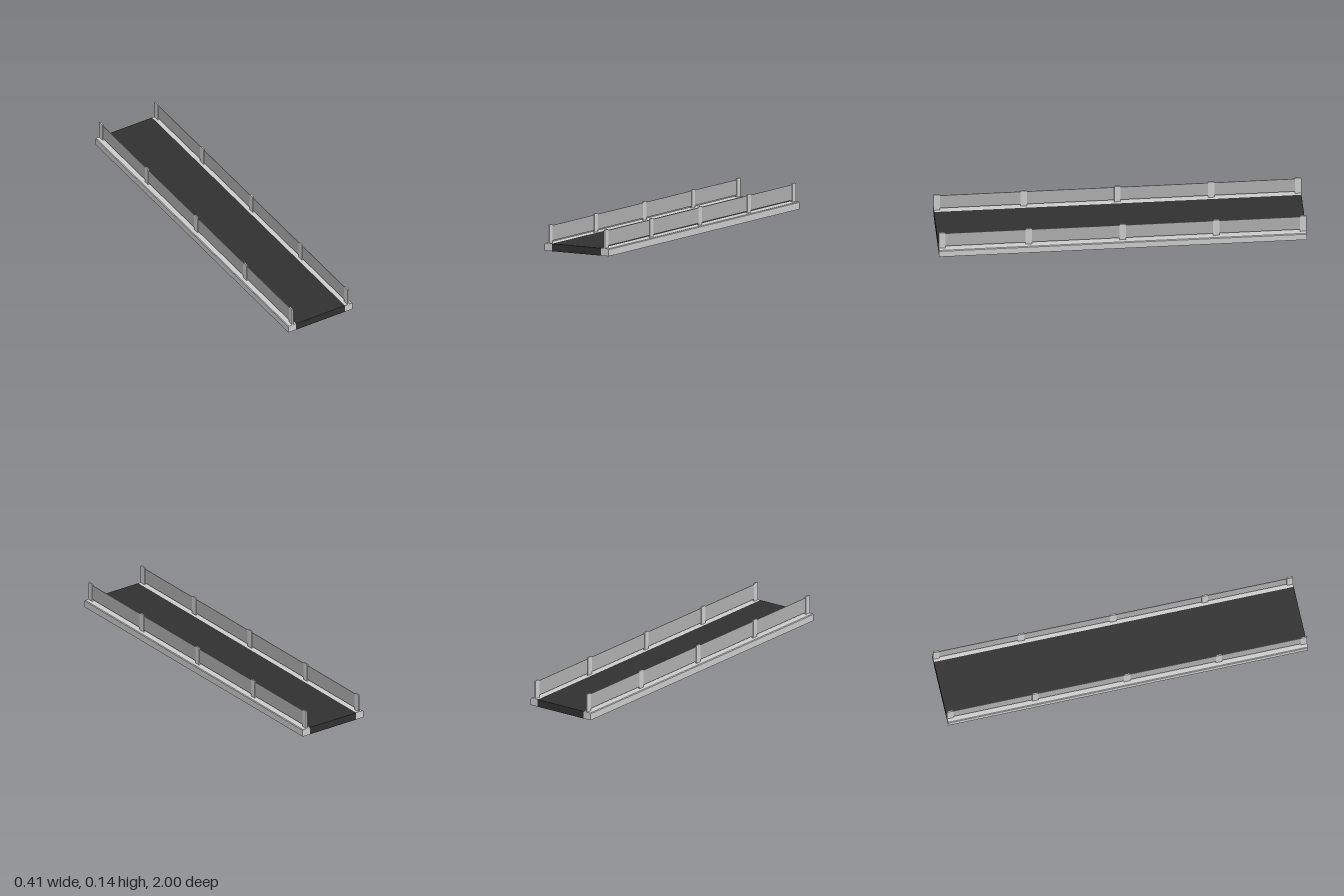
import * as THREE from 'three';

const grey = new THREE.MeshStandardMaterial({ color: 0xcccccc, flatShading: true });
const panelGrey = new THREE.MeshStandardMaterial({ color: 0xaeaeae, flatShading: true });
const asphalt = new THREE.MeshStandardMaterial({ color: 0x303030, flatShading: true });

const LENGTH = 2, DECK_HALF = 0.156, OUTER = 0.204, HEIGHT = 0.041, RAIL_X = 0.176;

function add(parent, name, geometry, material, x = 0, y = 0, z = 0) {
  const mesh = new THREE.Mesh(geometry, material);
  mesh.name = name;
  mesh.position.set(x, y, z);
  parent.add(mesh);
  return mesh;
}

function extrude(points, depth) {
  const shape = new THREE.Shape(points.map(([x, y]) => new THREE.Vector2(x, y)));
  return new THREE.ExtrudeGeometry(shape, { depth, bevelEnabled: false }).translate(0, 0, -depth / 2);
}

// Kerb profile with its outer top edge chamfered; side is +1 (left) or -1 (right)
function kerbGeometry(side) {
  const c = 0.004;
  const points = [[DECK_HALF, 0], [OUTER, 0], [OUTER, HEIGHT - c], [OUTER - c, HEIGHT], [DECK_HALF, HEIGHT]];
  return extrude(points.map(([x, y]) => [x * side, y]), LENGTH);
}

// Flat post with clipped top corners, thin across x
function postGeometry() {
  const w = 0.0175, top = 0.143, c = 0.004;
  const points = [[-w, HEIGHT], [w, HEIGHT], [w, top - c], [w - c, top], [c - w, top], [-w, top - c]];
  return extrude(points, 0.008).rotateY(Math.PI / 2);
}

export function createModel() {
  const model = new THREE.Group();
  model.name = 'bridgeSection';

  // Road deck
  add(model, 'roadDeck', new THREE.BoxGeometry(DECK_HALF * 2, HEIGHT, LENGTH), asphalt, 0, HEIGHT / 2, 0);

  // Kerb and railing on each side
  const post = postGeometry();
  for (const side of [1, -1]) {
    const label = side > 0 ? 'left' : 'right';
    add(model, label + 'Kerb', kerbGeometry(side), grey);

    const railing = new THREE.Group();
    railing.name = label + 'Railing';
    model.add(railing);
    for (const z of [-0.9825, -0.51, 0, 0.51, 0.9825]) {
      add(railing, 'railPost', post, grey, side * RAIL_X, 0, z);
    }
    add(railing, 'railPanel', new THREE.BoxGeometry(0.003, 0.084, 1.965), panelGrey, side * RAIL_X, 0.094, 0);
  }
  return model;
}
